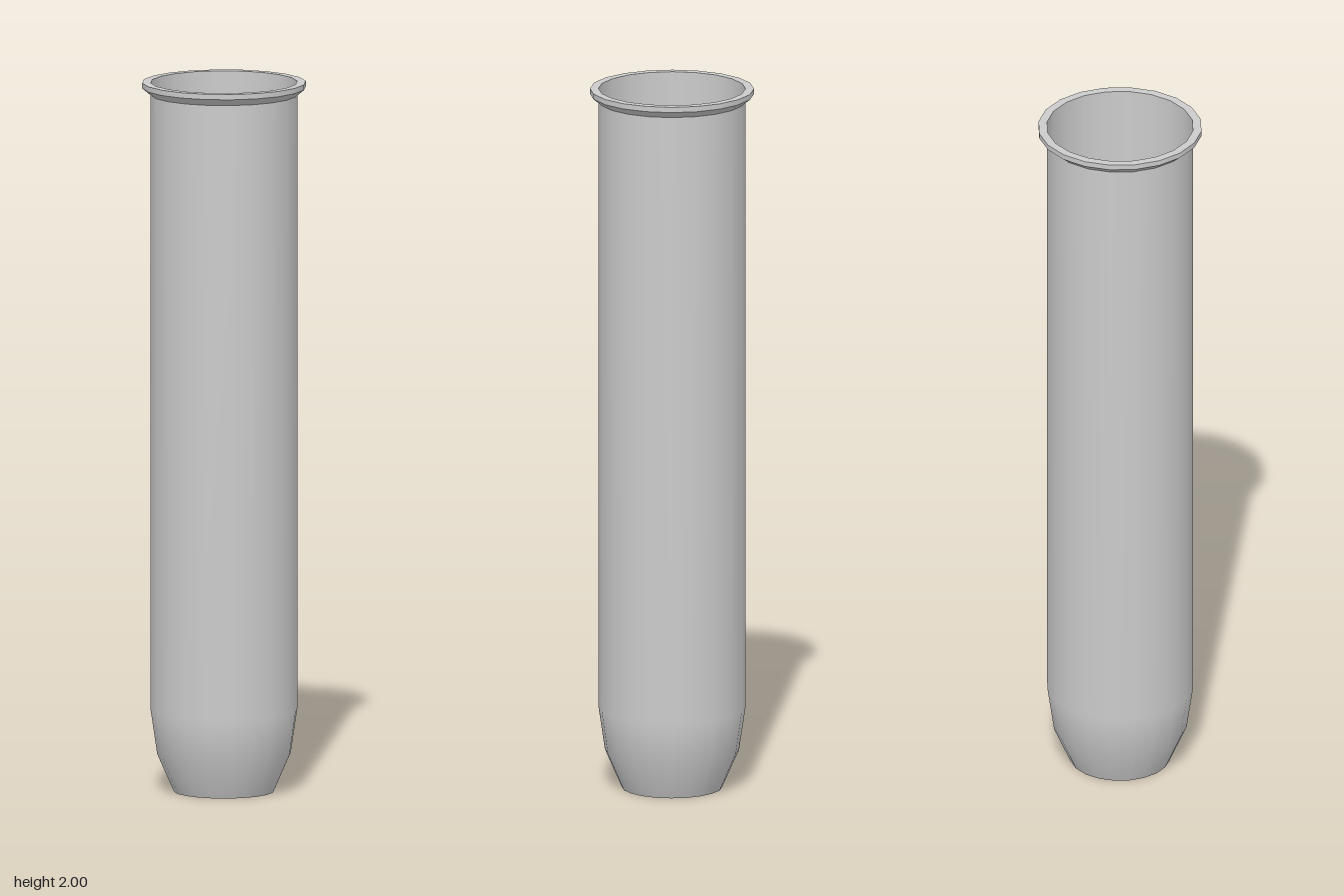
import * as THREE from 'three';

const SIDES = 20;

export function createModel() {
  const group = new THREE.Group();
  const material = new THREE.MeshStandardMaterial({ color: 0xcccccc, side: THREE.DoubleSide });

  // Revolves a profile of [radius, height] points; separate profiles keep edges sharp
  const revolve = (name, profile) => {
    const points = profile.map(([r, y]) => new THREE.Vector2(r, y));
    const mesh = new THREE.Mesh(new THREE.LatheGeometry(points, SIDES), material);
    mesh.name = name;
    group.add(mesh);
  };

  // Flat closed bottom
  revolve('base', [[0, 0], [0.14, 0]]);
  // Thin tube wall with a tapered foot
  revolve('wall', [[0.14, 0], [0.187, 0.107], [0.205, 0.23], [0.205, 2]]);
  // Flared lip around the opening
  revolve('lipUnderside', [[0.205, 1.965], [0.229, 1.985]]);
  revolve('lipEdge', [[0.229, 1.985], [0.229, 2]]);
  revolve('lipTop', [[0.229, 2], [0.205, 2]]);

  return group;
}
